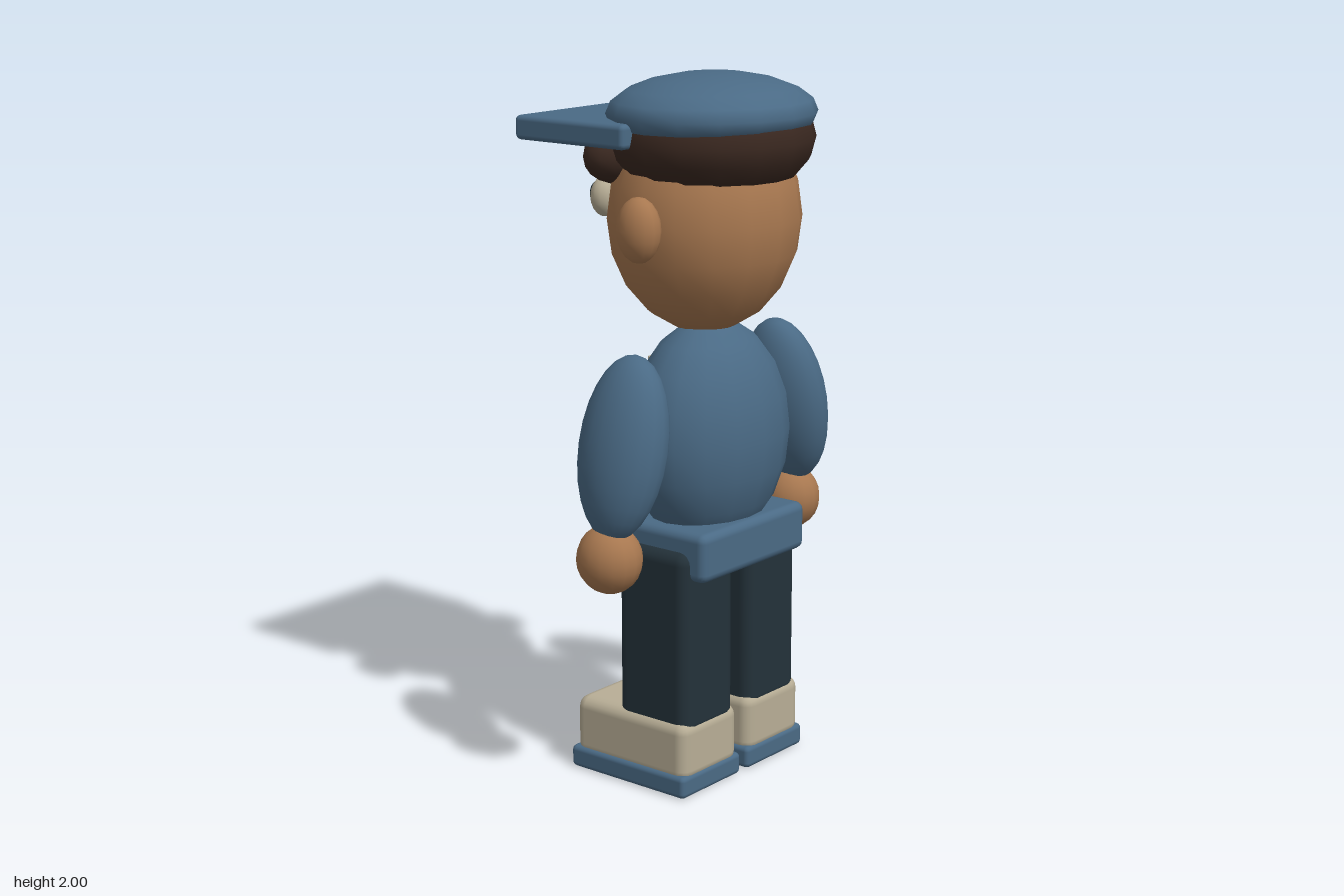
import * as THREE from 'three';
import { RoundedBoxGeometry } from 'three/addons/geometries/RoundedBoxGeometry.js';

const paint = (color) => new THREE.MeshStandardMaterial({ color });

export function createModel() {
  const model = new THREE.Group();
  const blue = paint(0x4a6a85);
  const skin = paint(0xa87850);
  const hair = paint(0x3a2820);
  const cream = paint(0xb8ae96);
  const dark = paint(0x24323a);
  const lip = paint(0x6a3a38);

  const place = (name, geometry, material, [x, y, z]) => {
    const mesh = new THREE.Mesh(geometry, material);
    mesh.name = name;
    mesh.position.set(x, y, z);
    model.add(mesh);
    return mesh;
  };
  // Ellipsoid given by centre and radii
  const ball = (name, material, centre, radii, around = 16, rings = 10) =>
    place(name, new THREE.SphereGeometry(1, around, rings).scale(...radii), material, centre);
  // Rounded box given by its low and high corners
  const block = (name, material, low, high, radius) => {
    const size = high.map((h, i) => h - low[i]);
    const centre = high.map((h, i) => (h + low[i]) / 2);
    return place(name, new RoundedBoxGeometry(...size, 2, radius), material, centre);
  };

  // Torso, belt and jacket zip
  ball('torso', blue, [0, 0.99, 0.07], [0.27, 0.33, 0.2]);
  block('belt', blue, [-0.235, 0.625, -0.1], [0.235, 0.765, 0.24], 0.025);
  block('zip', cream, [-0.009, 0.79, -0.148], [0.009, 1.18, -0.128], 0.005);

  // Head and face, which looks toward -z
  ball('head', skin, [0, 1.6, 0.055], [0.28, 0.32, 0.265]);
  ball('nose', skin, [0, 1.57, -0.212], [0.062, 0.063, 0.063], 14);
  block('mouth', lip, [-0.06, 1.435, -0.212], [0.06, 1.457, -0.165], 0.01);

  // Hair, fringe and cap
  ball('hair', hair, [0, 1.82, 0.08], [0.298, 0.17, 0.28]);
  ball('fringe', hair, [-0.14, 1.77, -0.13], [0.13, 0.08, 0.08]);
  ball('capCrown', blue, [0, 1.89, 0.08], [0.308, 0.11, 0.28]);
  block('capVisor', blue, [-0.32, 1.81, -0.36], [0.32, 1.878, 0.03], 0.015);

  // Paired parts
  for (const [side, s] of [['left', 1], ['right', -1]]) {
    const pairBlock = (name, material, low, high, radius) => {
      const mesh = block(side + name, material, low, high, radius);
      mesh.position.x *= s;
    };
    ball(side + 'Ear', skin, [s * 0.297, 1.6, 0.066], [0.054, 0.09, 0.066], 14);
    ball(side + 'Eye', cream, [s * 0.14, 1.65, -0.185], [0.048, 0.057, 0.04], 14);
    ball(side + 'Pupil', dark, [s * 0.14, 1.655, -0.213], [0.026, 0.035, 0.022], 12);

    const arm = ball(side + 'Arm', blue, [s * 0.365, 1.015, 0.065], [0.1, 0.255, 0.135], 20, 14);
    arm.rotation.z = s * 0.22;
    ball(side + 'Hand', skin, [s * 0.408, 0.71, 0.05], [0.088, 0.097, 0.095], 16, 12);

    pairBlock('Leg', dark, [0.032, 0.17, -0.058], [0.258, 0.71, 0.196], 0.04);
    pairBlock('Shoe', cream, [0.022, 0.04, -0.205], [0.272, 0.217, 0.2], 0.035);
    pairBlock('Sole', blue, [0.015, 0, -0.215], [0.28, 0.065, 0.203], 0.015);
  }

  return model;
}
